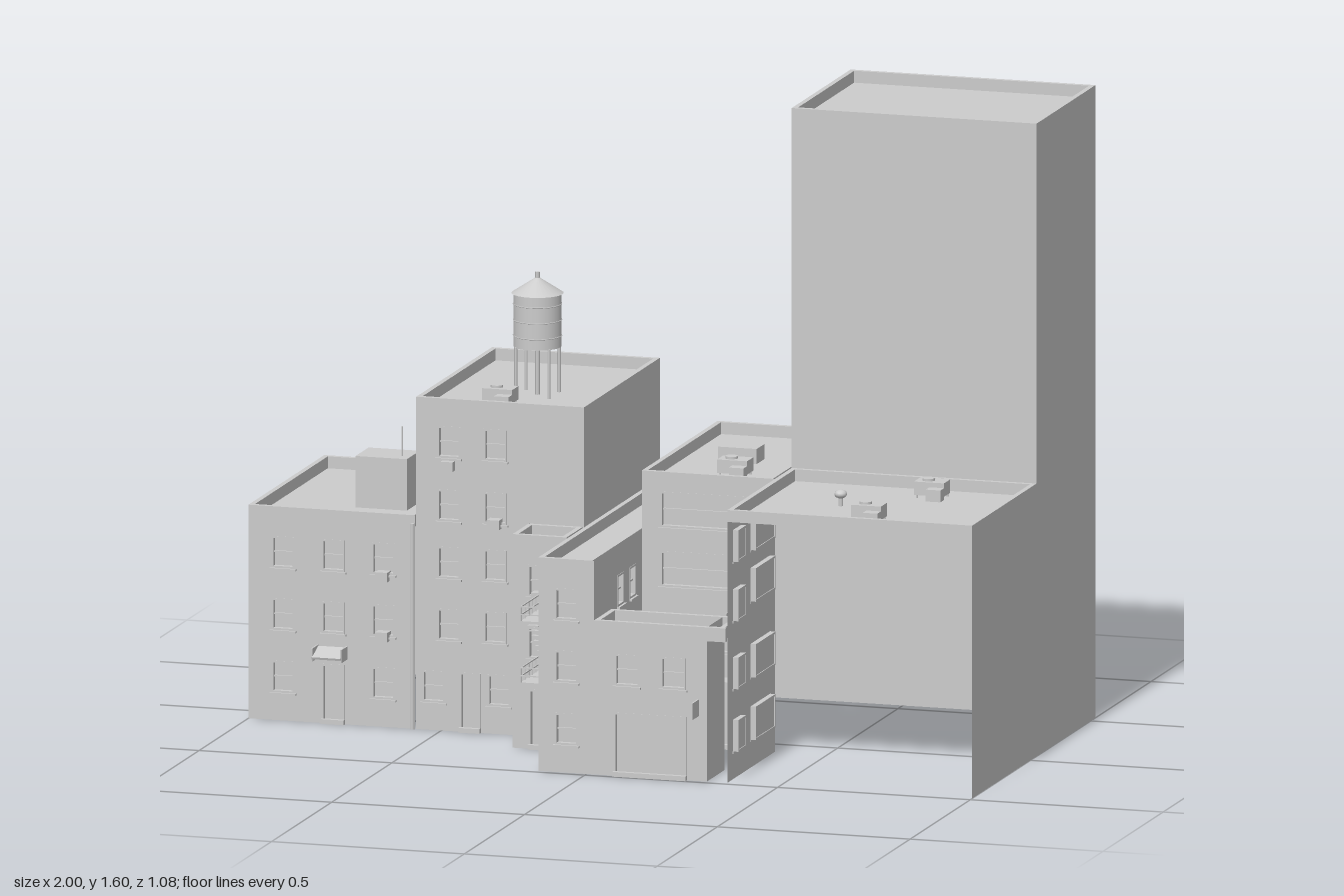
import * as THREE from 'three';

const material = new THREE.MeshStandardMaterial({ color: 0xcccccc, side: THREE.DoubleSide });

function add(parent, name, geometry, x = 0, y = 0, z = 0) {
  const mesh = new THREE.Mesh(geometry, material);
  mesh.name = name;
  mesh.position.set(x, y, z);
  parent.add(mesh);
  return mesh;
}

// Box given by its extents
const block = (parent, name, x0, x1, y0, y1, z0, z1) =>
  add(parent, name, new THREE.BoxGeometry(x1 - x0, y1 - y0, z1 - z0), (x0 + x1) / 2, (y0 + y1) / 2, (z0 + z1) / 2);

const rod = (parent, name, r, x, y0, y1, z) =>
  add(parent, name, new THREE.CylinderGeometry(r, r, y1 - y0, 8), x, (y0 + y1) / 2, z);

function rect(x0, y0, x1, y1, Type = THREE.Shape) {
  return new Type([[x0, y0], [x1, y0], [x1, y1], [x0, y1]].map(p => new THREE.Vector2(...p)));
}

function ring(x0, y0, x1, y1, t) {
  const s = rect(x0, y0, x1, y1);
  s.holes.push(rect(x0 + t, y0 + t, x1 - t, y1 - t, THREE.Path));
  return s;
}

const extrude = (shape, depth) => new THREE.ExtrudeGeometry(shape, { depth, bevelEnabled: false });

// Sheet wall from (x0,z0) to (x1,z1) with recessed openings [centre, bottom, width, height]
function wall(parent, name, x0, z0, x1, z1, y0, y1, openings = []) {
  const g = new THREE.Group();
  g.name = name;
  g.position.set(x0, 0, z0);
  g.rotation.y = Math.atan2(z0 - z1, x1 - x0);
  parent.add(g);
  const face = rect(0, y0, Math.hypot(x1 - x0, z1 - z0), y1);
  for (const [c, b, w, h] of openings) {
    const l = c - w / 2, r = c + w / 2, bottom = Math.max(b, 0.003), top = b + h;
    face.holes.push(rect(l, bottom, r, top, THREE.Path));
    add(g, 'openingFrame', extrude(ring(l, bottom, r, top, 0.005), 0.015), 0, 0, -0.014);
    add(g, 'pane', new THREE.ShapeGeometry(rect(l, bottom, r, top)), 0, 0, -0.012);
    if (b > 0) {
      block(g, 'sashBar', l, r, b + h / 2 - 0.002, b + h / 2 + 0.002, -0.012, -0.006);
      block(g, 'sill', l - 0.004, r + 0.004, b - 0.005, b, -0.002, 0.007);
    } else {
      block(g, 'doorstep', l, r, 0, 0.012, 0, 0.012);
    }
  }
  add(g, 'wallFace', new THREE.ShapeGeometry(face));
  return g;
}

// Flat roof sunk behind a thin parapet
function roof(parent, name, x0, x1, z0, z1, top) {
  const g = new THREE.Group();
  g.name = name;
  parent.add(g);
  add(g, 'parapet', extrude(ring(x0, -z1, x1, -z0, 0.013), 0.03), 0, top - 0.03, 0).rotation.x = -Math.PI / 2;
  add(g, 'roofDeck', new THREE.ShapeGeometry(rect(x0, -z1, x1, -z0)), 0, top - 0.03, 0).rotation.x = -Math.PI / 2;
}

// Rooftop air unit with a side duct
function airUnit(parent, x, y, z) {
  const g = new THREE.Group();
  g.name = 'airUnit';
  g.position.set(x, y, z);
  parent.add(g);
  block(g, 'unitBody', -0.04, 0.038, 0.008, 0.042, -0.04, 0.012);
  block(g, 'unitDuct', 0, 0.038, 0, 0.03, 0.012, 0.042);
  add(g, 'fanCap', new THREE.CylinderGeometry(0.016, 0.016, 0.006, 12), -0.01, 0.045, -0.014);
  for (const px of [-0.034, 0.032]) for (const pz of [-0.034, 0.006]) rod(g, 'unitFoot', 0.003, px, 0, 0.01, pz);
}

const rows = [0.07, 0.228, 0.385, 0.53, 0.69];
const grid = (columns, bottoms, w = 0.06, h = 0.08) => columns.flatMap(c => bottoms.map(b => [c, b, w, h]));

function waterTank(parent, x, z) {
  const g = new THREE.Group();
  g.name = 'waterTank';
  g.position.set(x, 0, z);
  parent.add(g);
  add(g, 'tankBarrel', new THREE.CylinderGeometry(0.06, 0.06, 0.135, 24), 0, 1.0, 0);
  add(g, 'tankRoof', new THREE.ConeGeometry(0.065, 0.042, 24), 0, 1.088, 0);
  add(g, 'finial', new THREE.CylinderGeometry(0.006, 0.006, 0.022, 8), 0, 1.109, 0);
  for (const y of [0.96, 1.0, 1.04]) add(g, 'hoop', new THREE.TorusGeometry(0.06, 0.0015, 4, 24), 0, y, 0).rotation.x = Math.PI / 2;
  for (const sx of [-1, 1]) for (const sz of [-1, 1]) rod(g, 'tankLeg', 0.004, sx * 0.043, 0.81, 0.935, sz * 0.043);
  rod(g, 'supplyPipe', 0.006, 0, 0.81, 0.935, 0);
}

export function createModel() {
  const city = new THREE.Group();
  city.name = 'cityBlock';
  const back = -0.54, front = 0.09, street = 0.485;

  // Roofs
  roof(city, 'westRoof', -1, -0.57, back, front, 0.54);
  roof(city, 'tallHouseRoof', -0.565, -0.13, back, front, 0.84);
  roof(city, 'narrowHouseRoof', -0.125, 0.015, back, street, 0.54);
  roof(city, 'courtHouseRoof', 0.02, 0.36, back, front, 0.69);
  roof(city, 'towerRoof', 0.365, 1, back, -0.05, 1.6);
  roof(city, 'eastRoof', 0.365, 1, -0.05, street, 0.69);
  roof(city, 'garageRoof', 0.02, 0.355, 0.34, street, 0.39);
  roof(city, 'annexRoof', -0.27, -0.13, 0.1, 0.235, 0.54);

  // Back and east outer walls
  for (const [x0, x1, h] of [[-1, -0.565, 0.54], [-0.565, -0.13, 0.84], [-0.13, 0.02, 0.54], [0.02, 0.365, 0.69], [0.365, 1, 1.6]])
    wall(city, 'backWall', x1, back, x0, back, 0, h);
  wall(city, 'towerEastWall', 1, -0.05, 1, back, 0, 1.6);
  wall(city, 'eastWall', 1, street, 1, -0.05, 0, 0.69);

  // Walls rising above neighbouring roofs
  wall(city, 'towerFront', 0.365, -0.05, 1, -0.05, 0.66, 1.6);
  wall(city, 'towerWestWall', 0.365, back, 0.365, -0.05, 0.66, 1.6);
  wall(city, 'tallWestWall', -0.565, back, -0.565, front, 0.51, 0.84);
  wall(city, 'tallEastWall', -0.13, front, -0.13, back, 0.51, 0.84);
  wall(city, 'courtHouseWestWall', 0.02, back, 0.02, front, 0.51, 0.69);

  // Street facades
  wall(city, 'westFacade', -1, front, -0.568, front, 0, 0.54,
    [...grid([0.09, 0.35], rows.slice(0, 3)), ...grid([0.22], rows.slice(1, 3)), [0.22, 0, 0.06, 0.15]]);
  wall(city, 'tallFacade', -0.565, front, -0.13, front, 0, 0.84,
    [...grid([0.085, 0.205], rows.slice(1)), [0.045, 0.07, 0.06, 0.08], [0.215, 0.07, 0.06, 0.08], [0.14, 0, 0.055, 0.15]]);
  wall(city, 'annexFacade', -0.27, 0.235, -0.13, 0.235, 0, 0.54, [...grid([0.07], rows.slice(1, 3)), [0.07, 0, 0.055, 0.15]]);
  wall(city, 'annexWestWall', -0.27, front, -0.27, 0.235, 0, 0.54);
  wall(city, 'narrowFacade', -0.125, street, 0.02, street, 0, 0.54, grid([0.073], rows.slice(0, 3)));
  wall(city, 'narrowWestWall', -0.125, front, -0.125, street, 0, 0.54, grid([0.22, 0.33], rows.slice(0, 3), 0.05));
  wall(city, 'garageFacade', 0.02, street, 0.312, street, 0, 0.39,
    [...grid([0.085, 0.205], [0.228], 0.065), [0.145, 0, 0.19, 0.16]]);
  block(city, 'passageBeam', 0.312, 0.36, 0.355, 0.39, 0.47, street);

  // Courtyard walls
  wall(city, 'narrowCourtWall', 0.02, street, 0.02, front, 0, 0.54, grid([0.22, 0.32], rows.slice(0, 3), 0.05));
  wall(city, 'garageBack', 0.312, 0.34, 0.02, 0.34, 0, 0.39);
  wall(city, 'garageEastWall', 0.312, street, 0.312, 0.34, 0, 0.39);
  wall(city, 'courtHouseFacade', 0.02, front, 0.365, front, 0, 0.69,
    [...grid([0.173], [0.24, 0.4, 0.55], 0.25, 0.09), [0.173, 0, 0.16, 0.15]]);
  wall(city, 'eastCourtWall', 0.365, front, 0.365, street, 0, 0.69,
    [...grid([0.12], [0.07, 0.228, 0.42, 0.55], 0.16, 0.085), ...grid([0.315], [0.07, 0.228, 0.4, 0.55], 0.065)]);
  block(city, 'courtCanopy', 0.1, 0.29, 0.165, 0.18, front, 0.145);
  block(city, 'courtBalcony', 0.305, 0.365, 0.355, 0.365, 0.115, 0.31);
  block(city, 'balconyRail', 0.305, 0.308, 0.365, 0.39, 0.115, 0.31);

  // Entrance awning and hanging sign board
  const awning = block(city, 'awning', -0.82, -0.745, 0.18, 0.186, front, 0.145);
  awning.rotation.x = 0.35;
  for (const x of [-0.82, -0.745]) block(city, 'awningSide', x - 0.002, x + 0.002, 0.165, 0.198, front, 0.14);
  block(city, 'signBoard', 0.288, 0.292, 0.165, 0.207, street, 0.54);

  // Window air conditioners
  for (const [x, y, z] of [[-0.65, 0.38, front], [-0.65, 0.228, front], [-0.48, 0.67, front], [-0.36, 0.53, front], [-0.2, 0.385, 0.235]])
    block(city, 'windowCooler', x - 0.016, x + 0.016, y - 0.01, y + 0.014, z - 0.01, z + 0.02);

  // Drainpipes
  for (const [x, z, h] of [[-0.573, 0.096, 0.52], [-0.131, 0.25, 0.52]]) rod(city, 'drainpipe', 0.005, x, 0, h, z);

  // Fire escape on the narrow house
  const escape = new THREE.Group();
  escape.name = 'fireEscape';
  city.add(escape);
  for (const y of [0.21, 0.365]) {
    block(escape, 'landing', -0.18, -0.125, y, y + 0.005, 0.268, 0.458);
    for (const h of [0.02, 0.04]) {
      block(escape, 'rail', -0.18, -0.177, y + h, y + h + 0.003, 0.268, 0.458);
      for (const z of [0.268, 0.455]) block(escape, 'endRail', -0.18, -0.125, y + h, y + h + 0.003, z, z + 0.003);
    }
    for (let i = 0; i <= 6; i++) rod(escape, 'railPost', 0.0015, -0.1785, y, y + 0.043, 0.2695 + i * 0.031);
  }
  const stair = new THREE.Group();
  stair.name = 'escapeStair';
  escape.add(stair);
  for (let i = 0; i < 9; i++) block(stair, 'tread', -0.172, -0.145, 0.222 + i * 0.016, 0.225 + i * 0.016, 0.29 + i * 0.015, 0.303 + i * 0.015);
  for (const z of [0.3, 0.325]) rod(escape, 'ladderRail', 0.002, -0.17, 0.13, 0.21, z);
  for (let i = 0; i < 5; i++) block(escape, 'rung', -0.172, -0.168, 0.14 + i * 0.015, 0.143 + i * 0.015, 0.3, 0.325);

  // Rooftop equipment
  waterTank(city, -0.33, -0.165);
  for (const [x, y, z] of [[-0.78, 0.51, -0.345], [-0.383, 0.81, -0.015], [0.215, 0.66, -0.05], [0.76, 0.66, 0.06], [0.695, 0.66, 0.375]])
    airUnit(city, x, y, z);
  block(city, 'ventHousing', 0.14, 0.24, 0.67, 0.708, -0.225, -0.16);
  block(city, 'stairHead', -0.78, -0.647, 0.51, 0.64, -0.203, -0.095);
  rod(city, 'antenna', 0.002, -0.67, 0.64, 0.715, -0.13);
  rod(city, 'roofVent', 0.006, 0.575, 0.66, 0.69, 0.215);
  add(city, 'roofVentCap', new THREE.SphereGeometry(0.016, 12, 8), 0.575, 0.69, 0.215).scale.y = 0.7;

  return city;
}
